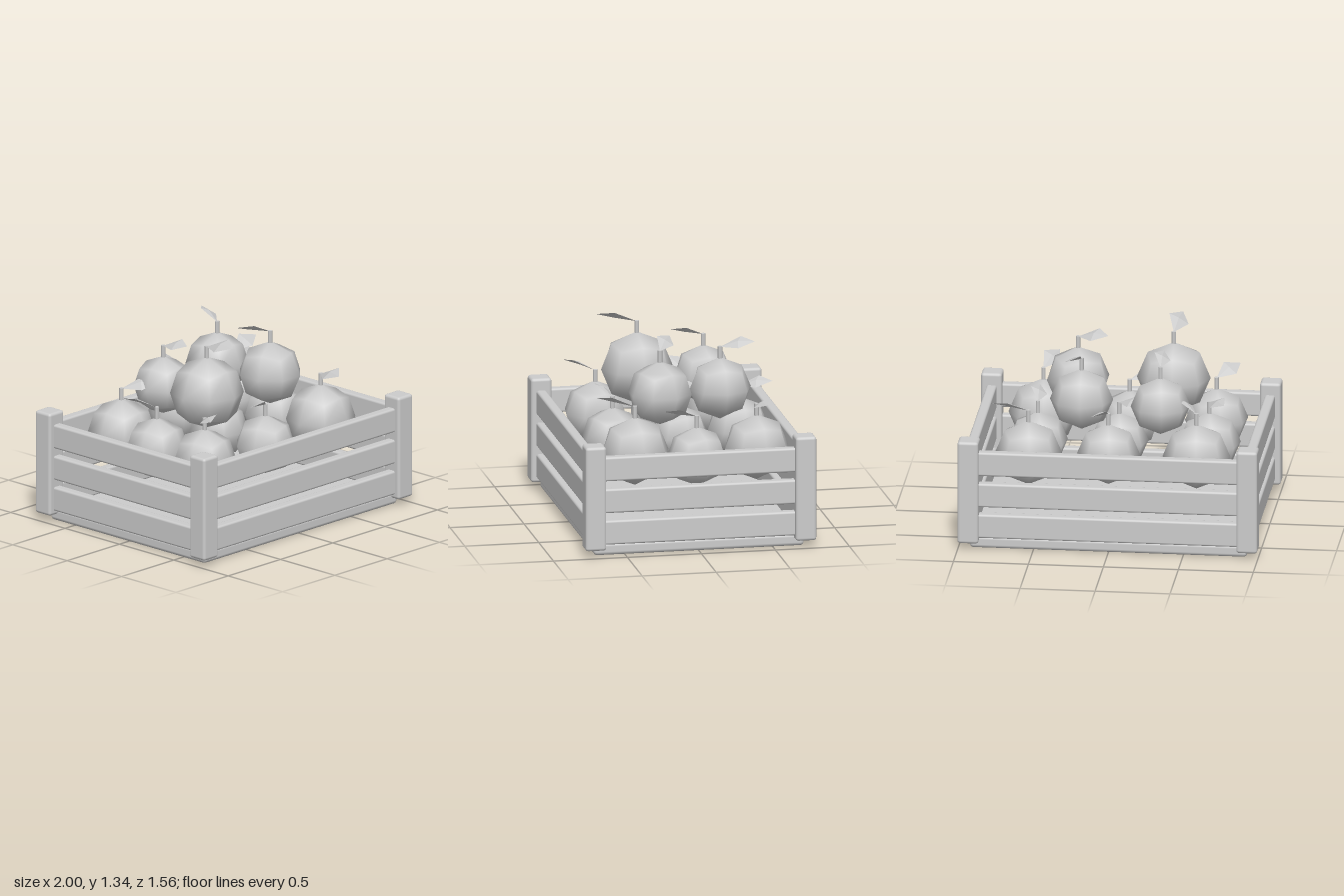
import * as THREE from 'three';
import { RoundedBoxGeometry } from 'three/addons/geometries/RoundedBoxGeometry.js';

const clay = new THREE.MeshStandardMaterial({ color: 0xcccccc, side: THREE.DoubleSide });
clay.name = 'pale grey';

function add(parent, name, geometry, x = 0, y = 0, z = 0) {
  const mesh = new THREE.Mesh(geometry, clay);
  mesh.name = name;
  mesh.position.set(x, y, z);
  parent.add(mesh);
  return mesh;
}

// Eight-sided ball: a subdivided cube pushed out to a sphere, smooth normals
function ballGeometry() {
  const geometry = new THREE.BoxGeometry(1, 1, 1, 2, 2, 2);
  const p = geometry.attributes.position;
  const v = new THREE.Vector3();
  for (let i = 0; i < p.count; i++) {
    v.fromBufferAttribute(p, i).normalize();
    p.setXYZ(i, v.x, v.y, v.z);
    geometry.attributes.normal.setXYZ(i, v.x, v.y, v.z);
  }
  return geometry;
}

// Kite-shaped leaf pointing along +z, with a raised middle and its left edge up
function leafGeometry() {
  const base = [0, 0, 0], left = [0.06, 0.07, 0.14], right = [-0.06, 0.01, 0.14];
  const tip = [0, 0.05, 0.25], middle = [0, 0.05, 0.13];
  const rim = [base, left, tip, right];
  const points = [];
  rim.forEach((a, i) => points.push(...middle, ...rim[(i + 1) % 4], ...a));
  // corner order gives upward-facing facets
  for (let i = 0; i < points.length; i += 9) {
    const a = points.slice(i, i + 9);
    const up = (a[5] - a[2]) * (a[6] - a[0]) - (a[3] - a[0]) * (a[8] - a[2]);
    if (up < 0) points.splice(i, 9, ...a.slice(0, 3), ...a.slice(6, 9), ...a.slice(3, 6));
  }
  const geometry = new THREE.BufferGeometry();
  geometry.setAttribute('position', new THREE.Float32BufferAttribute(points, 3));
  geometry.computeVertexNormals();
  return geometry;
}

function createCrate() {
  const crate = new THREE.Group();
  crate.name = 'crate';
  add(crate, 'floor', new RoundedBoxGeometry(1.85, 0.085, 1.42, 2, 0.025), 0, 0.0425, 0);

  // Corner posts
  const post = new RoundedBoxGeometry(0.14, 0.71, 0.14, 2, 0.02);
  for (const x of [-0.93, 0.93]) {
    for (const z of [-0.71, 0.71]) add(crate, 'cornerPost', post, x, 0.405, z);
  }

  // Three slats on each side
  const longSlat = new RoundedBoxGeometry(1.76, 0.165, 0.068, 2, 0.015);
  const shortSlat = new RoundedBoxGeometry(0.068, 0.165, 1.32, 2, 0.015);
  for (const y of [0.163, 0.379, 0.597]) {
    for (const s of [-1, 1]) {
      add(crate, s > 0 ? 'frontSlat' : 'backSlat', longSlat, 0, y, s * 0.71);
      add(crate, s > 0 ? 'leftSlat' : 'rightSlat', shortSlat, s * 0.928, y, 0);
    }
  }
  return crate;
}

// Fruit: x, top height, z, radius, turn in degrees, leaf direction x and z
const FRUIT = [
  [-0.555, 0.82, -0.41, 0.225, 5, 0.10, 0.12],
  [0.03, 0.81, -0.44, 0.21, 8, 0.10, -0.24],
  [0.56, 0.82, -0.46, 0.222, 8, 0.25, -0.02],
  [-0.60, 0.78, -0.04, 0.21, 12, -0.12, -0.20],
  [0.0, 0.76, -0.05, 0.195, 10, -0.15, -0.12],
  [0.54, 0.75, -0.06, 0.20, 15, 0.01, 0.22],
  [-0.60, 0.80, 0.40, 0.212, 15, -0.14, 0.19],
  [-0.02, 0.765, 0.40, 0.203, 22, -0.22, 0.08],
  [0.55, 0.84, 0.36, 0.232, 6, -0.08, 0.24],
  [-0.30, 1.09, -0.27, 0.198, 8, 0.0, 0.22],
  [0.225, 1.135, -0.28, 0.21, 3, 0.08, -0.22],
  [-0.34, 1.19, 0.17, 0.245, 3, -0.03, 0.25],
  [0.295, 1.145, 0.14, 0.215, 22, -0.22, -0.11],
];

export function createModel() {
  const model = new THREE.Group();
  model.name = 'fruitCrate';
  model.add(createCrate());

  const ball = ballGeometry();
  const leaf = leafGeometry();
  const stem = new THREE.CylinderGeometry(0.016, 0.016, 0.11, 6);

  for (const [x, top, z, r, turn, dx, dz] of FRUIT) {
    const fruit = new THREE.Group();
    fruit.name = 'fruit';
    fruit.position.set(x, top - r, z);
    const body = add(fruit, 'fruitBody', ball);
    body.scale.setScalar(r);
    body.rotation.y = THREE.MathUtils.degToRad(turn);
    add(fruit, 'stem', stem, 0, r + 0.02, 0);
    const blade = add(fruit, 'leaf', leaf, 0, r + 0.07, 0);
    blade.scale.setScalar(r / 0.225);
    blade.rotation.y = Math.atan2(dx, dz);
    model.add(fruit);
  }
  return model;
}
